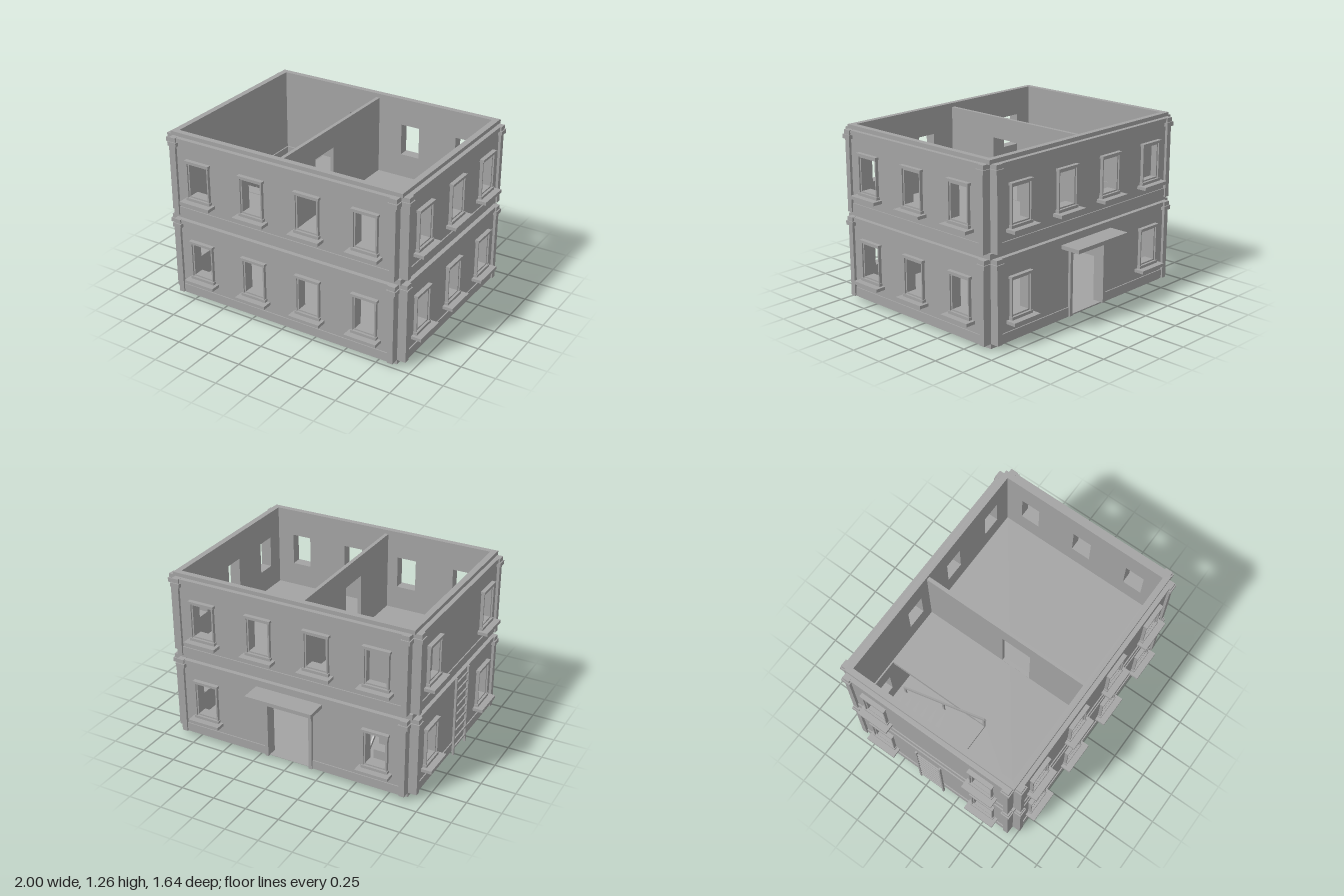
import * as THREE from 'three';

const plaster = new THREE.MeshStandardMaterial({ color: 0xa3a3a3 });
plaster.name = 'grey plaster';

const HX = 0.86, HZ = 0.641;      // half size of the interior
const PITCH = 0.62;               // storey height
const WALL = 0.065;               // wall thickness

function add(parent, name, geometry) {
  const mesh = new THREE.Mesh(geometry, plaster);
  mesh.name = name;
  parent.add(mesh);
  return mesh;
}

// box given by its min and max on each axis
function box(parent, name, x0, x1, y0, y1, z0, z1) {
  const g = new THREE.BoxGeometry(x1 - x0, y1 - y0, z1 - z0);
  g.translate((x0 + x1) / 2, (y0 + y1) / 2, (z0 + z1) / 2);
  return add(parent, name, g);
}

function rectPoints(x0, x1, y0, y1) {
  return [[x0, y0], [x1, y0], [x1, y1], [x0, y1]].map(p => new THREE.Vector2(...p));
}

// rectangular slab in XY with rectangular holes, extruded from z0 to z1
function pierced(outer, holes, z0, z1) {
  const shape = new THREE.Shape(rectPoints(...outer));
  for (const h of holes) shape.holes.push(new THREE.Path(rectPoints(...h).reverse()));
  const g = new THREE.ExtrudeGeometry(shape, { depth: z1 - z0, bevelEnabled: false });
  g.translate(0, 0, z0);
  return g;
}

// the same lying flat, with holes given in x and z
function flatPierced(outer, holes, y0, y1) {
  const flip = ([a, b, c, d]) => [a, b, -d, -c];
  return pierced(flip(outer), holes.map(flip), y0, y1).rotateX(-Math.PI / 2);
}

const W = 0.073, Y0 = 0.21, Y1 = 0.446;   // window opening

function windowTrim(parent, u, blocked) {
  const g = new THREE.Group();
  g.name = 'window';
  g.position.x = u;
  const hole = [-W, W, Y0, Y1];
  add(g, 'innerFrame', pierced([-0.083, 0.083, Y0 - 0.01, Y1 + 0.01], [hole], 0.05, 0.077));
  add(g, 'outerFrame', pierced([-0.092, 0.092, Y0 - 0.012, Y1 + 0.018],
    [[-0.083, 0.083, Y0 - 0.01, Y1 + 0.01]], 0.05, 0.088));
  box(g, 'windowHead', -0.1, 0.1, 0.46, 0.478, 0.05, 0.096);
  box(g, 'sillApron', -0.098, 0.098, 0.18, 0.2, 0.05, 0.094);
  box(g, 'sill', -0.122, 0.122, 0.157, 0.18, 0.05, 0.14);
  if (blocked) box(g, 'blindPanel', -W, W, Y0, Y1, 0, 0.03);
  parent.add(g);
}

// one storey of one side: x runs along the wall, z = 0 is its inner face
function facade(L, windows, blocked, hasDoor) {
  const g = new THREE.Group();
  g.name = 'facade';
  const holes = windows.map(u => [u - W, u + W, Y0, Y1]);
  if (hasDoor) holes.push([-0.16, 0.16, 0.037, 0.48]);
  add(g, 'wall', pierced([-L, L, 0.035, 0.617], holes, 0, WALL));
  windows.forEach(u => windowTrim(g, u, blocked.includes(u)));
  box(g, 'cornice', -L, L, 0.585, 0.617, 0, 0.075);

  const p = L - 0.04;
  const bands = hasDoor ? [[-p, -0.185], [0.185, p]] : [[-p, p]];
  for (const [a, b] of bands) box(g, 'baseBand', a, b, 0.035, 0.1, 0.05, 0.073);

  for (const s of [-1, 1]) {
    const span = (a, b) => (s > 0 ? [a, b] : [-b, -a]);
    box(g, 'pilaster', ...span(p, L), 0.035, 0.6, 0.02, 0.084);
    box(g, 'capital', ...span(L - 0.054, L + 0.015), 0.557, 0.587, 0.03, 0.094);
    box(g, 'capitalTop', ...span(L - 0.046, L + 0.007), 0.587, 0.618, 0.03, 0.086);
    if (hasDoor) box(g, 'doorJamb', ...span(0.16, 0.185), 0.035, 0.505, 0.03, 0.086);
  }
  if (hasDoor) {
    box(g, 'doorLintel', -0.16, 0.16, 0.48, 0.505, 0.03, 0.086);
    box(g, 'awning', -0.255, 0.255, 0.532, 0.56, 0.05, 0.215);
  }
  return g;
}

export function createModel() {
  const model = new THREE.Group();
  model.name = 'twoStoreyHouse';
  const house = new THREE.Group();
  house.name = 'house';
  house.position.z = 0.036;
  model.add(house);

  const four = [-0.66, -0.22, 0.22, 0.66], ends = [-0.44, 0.44];
  for (let s = 0; s < 2; s++) {
    const up = s === 1;
    // half length, position, rotation, windows, blocked windows, door
    const sides = [
      ['front', 0.88, 0, HZ, 0, four, [], false],
      ['back', 0.88, 0, -HZ, Math.PI, up ? four : [-0.66, 0.66], up ? [0.66] : [], !up],
      ['right', 0.663, HX, 0, Math.PI / 2, [-0.44, 0, 0.44], [], false],
      ['left', 0.663, -HX, 0, -Math.PI / 2, ends, up ? ends : [], false],
    ];
    for (const [name, L, x, z, turn, windows, blocked, door] of sides) {
      const f = facade(L, windows, blocked, door);
      f.name = name + (up ? 'UpperFacade' : 'LowerFacade');
      f.position.set(x, s * PITCH, z);
      f.rotation.y = turn;
      house.add(f);
    }
    // ring above each cornice
    add(house, 'parapet', flatPierced([-0.903, 0.903, -0.683, 0.683],
      [[-HX, HX, -HZ, HZ]], s * PITCH + 0.615, up ? 1.265 : 0.656));
  }

  // floors, the upper one with the stairwell
  box(house, 'groundFloor', -0.88, 0.88, 0, 0.036, -0.663, 0.663);
  add(house, 'upperFloor', flatPierced([-HX, HX, -HZ, HZ],
    [[-0.85, -0.53, -0.63, 0.175]], 0.617, 0.655));

  // dividing wall with a doorway upstairs
  const partition = add(house, 'partition',
    pierced([-HZ, HZ, 0.655, 1.235], [[-0.214, 0.016, 0.657, 1.08]], 0, 0.027));
  partition.rotation.y = Math.PI / 2;
  partition.position.x = -0.067;

  // stairs rising to the front
  const stairs = new THREE.Group();
  stairs.name = 'stairs';
  const steps = 9, run = 0.083, rise = 0.069;
  for (let i = 0; i < steps; i++) {
    const z = -0.576 + i * run, y = 0.036 + (i + 1) * rise;
    box(stairs, 'step', -0.835, -0.537, Math.max(0.036, y - rise - 0.03), y, z, z + run);
  }
  const slope = Math.atan2(rise, run), length = 0.98;
  for (const x of [-0.842, -0.533]) {
    const rail = add(stairs, 'handrail', new THREE.BoxGeometry(0.012, 0.022, length));
    rail.rotation.x = -slope;
    rail.position.set(x, 0.5, -0.2);
    for (const z of [-0.57, -0.2, 0.165]) {
      const y = 0.5 + (z + 0.2) * rise / run;
      box(stairs, 'railPost', x - 0.006, x + 0.006, y - 0.16, y, z - 0.008, z + 0.008);
    }
  }
  house.add(stairs);

  // simple furniture
  box(house, 'desk', 0.725, HX, 0.036, 0.19, -0.186, 0.144);
  box(house, 'counter', -0.195, -0.067, 0.036, 0.19, -0.356, -0.026);
  for (const [a, b] of [[-0.157, -0.145], [-0.13, -0.097]])
    box(house, 'counterItem', a, b, 0.19, 0.2, -0.29, -0.19);

  // ladder on the left side
  const ladder = new THREE.Group();
  ladder.name = 'ladder';
  for (const z of [-0.11, 0.092]) box(ladder, 'ladderRail', -0.968, -0.952, 0.035, 0.65, z, z + 0.014);
  for (let i = 0; i < 9; i++) {
    const y = 0.085 + i * 0.064;
    box(ladder, 'rung', -0.965, -0.955, y, y + 0.012, -0.1, 0.095);
  }
  house.add(ladder);

  return model;
}
